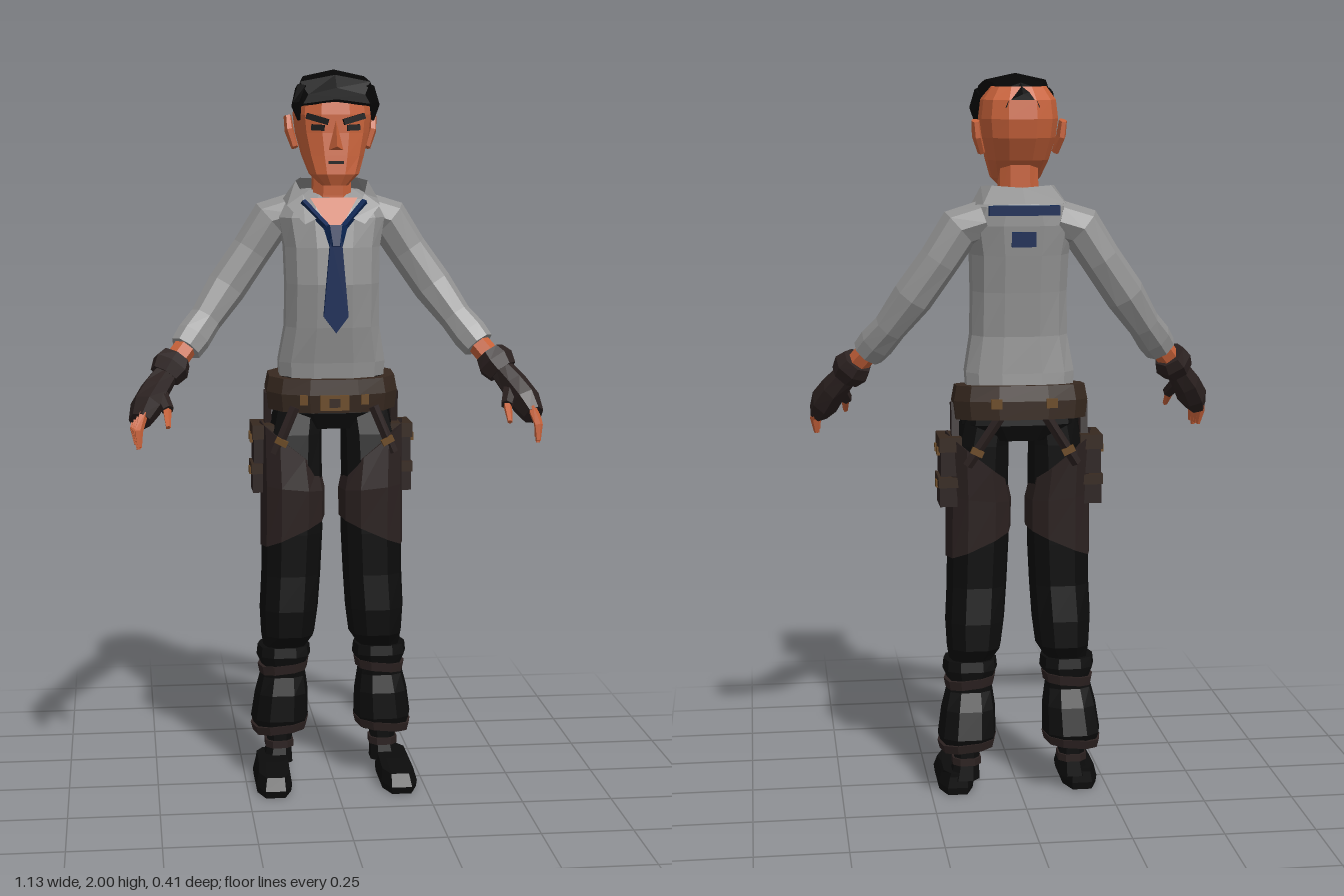
import * as THREE from 'three';

const mat = (name, color, side = THREE.FrontSide) => {
  const m = new THREE.MeshStandardMaterial({ color, flatShading: true, side });
  m.name = name;
  return m;
};

export function createModel() {
  const root = new THREE.Group();
  root.name = 'figure';
  const skin = mat('skin', 0xc8623a), shirt = mat('shirtGrey', 0x949494, THREE.DoubleSide);
  const cloth = mat('trouserBlack', 0x0c0c0c), hairMat = mat('hairBlack', 0x060606);
  const leather = mat('leatherBrown', 0x2b2120), strapMat = mat('strapBrown', 0x36281f);
  const navy = mat('tieNavy', 0x0b2654), brass = mat('brass', 0x6b4a24);
  const V = (x, y, z) => new THREE.Vector3(x, y, z);

  const add = (name, geo, m) => {
    const mesh = new THREE.Mesh(geo, m);
    mesh.name = name;
    root.add(mesh);
    return mesh;
  };
  const fromTriangles = (pts) => {
    const g = new THREE.BufferGeometry().setFromPoints(pts);
    g.computeVertexNormals();
    return g;
  };
  // Closed faceted skin over a list of equal rings
  const skinRings = (rings) => {
    const out = [], n = rings[0].length;
    for (let r = 0; r < rings.length - 1; r++) for (let i = 0; i < n; i++) {
      const j = (i + 1) % n, a = rings[r], b = rings[r + 1];
      out.push(a[i], a[j], b[j], a[i], b[j], b[i]);
    }
    const cap = (ring, flip) => {
      const c = V(0, 0, 0);
      ring.forEach((p) => c.addScaledVector(p, 1 / n));
      for (let i = 0; i < n; i++) {
        const p = ring[i], q = ring[(i + 1) % n];
        out.push(c, flip ? q : p, flip ? p : q);
      }
    };
    cap(rings[0], true);
    cap(rings[rings.length - 1], false);
    return fromTriangles(out);
  };
  // Upright loft, bottom to top: [centreX, y, zFront, zBack, halfWidth, slope]
  const loft = (name, m, sections, n = 12, power = 0.75, s = 1) => {
    const sq = (v) => Math.sign(v) * Math.abs(v) ** power;
    return add(name, skinRings(sections.map(([cx, y, zf, zb, hw, slope = 0]) =>
      Array.from({ length: n }, (_, i) => {
        const a = ((i + 0.5) / n) * Math.PI * 2, dx = hw * sq(Math.sin(a));
        return V(cx * s + dx, y + slope * s * dx, (zf + zb) / 2 + ((zf - zb) / 2) * sq(Math.cos(a)));
      }))), m);
  };
  // Tapered limb along a path: [x, y, z, radiusU, radiusV]
  const limb = (name, m, path, n = 7, s = 1) => {
    const c = path.map(([x, y, z]) => V(x * s, y, z));
    return add(name, skinRings(path.map((p, k) => {
      const t = c[Math.min(k + 1, c.length - 1)].clone().sub(c[Math.max(k - 1, 0)]).normalize();
      const u = V(0, 0, 1).cross(t).normalize(), v = t.clone().cross(u);
      return Array.from({ length: n }, (_, i) => {
        const a = (i / n) * Math.PI * 2;
        return c[k].clone().addScaledVector(u, p[3] * Math.cos(a)).addScaledVector(v, p[4] * Math.sin(a));
      });
    })), m);
  };
  const box = (name, m, size, pos, rot = [0, 0, 0]) => {
    const mesh = add(name, new THREE.BoxGeometry(...size), m);
    mesh.position.set(...pos);
    mesh.rotation.set(...rot);
    return mesh;
  };

  // Head and neck
  loft('neck', skin, [[0, 1.56, 0.0, -0.12, 0.062], [0, 1.66, -0.005, -0.11, 0.056], [0, 1.78, 0.0, -0.11, 0.054]], 8);
  loft('head', skin, [
    [0, 1.69, 0.062, -0.01, 0.036], [0, 1.72, 0.075, -0.06, 0.068], [0, 1.77, 0.07, -0.125, 0.085],
    [0, 1.83, 0.063, -0.16, 0.1], [0, 1.88, 0.062, -0.17, 0.106], [0, 1.93, 0.052, -0.163, 0.1],
    [0, 1.965, 0.02, -0.135, 0.075]]);
  add('nose', fromTriangles([
    [0, 1.865, 0.064], [-0.02, 1.785, 0.066], [0, 1.795, 0.096],
    [0, 1.865, 0.064], [0, 1.795, 0.096], [0.02, 1.785, 0.066],
    [-0.02, 1.785, 0.066], [0.02, 1.785, 0.066], [0, 1.795, 0.096]].map((p) => V(...p))), skin);
  box('mouth', hairMat, [0.042, 0.008, 0.008], [0, 1.752, 0.07]);

  // Hair swept over the crown: [z, halfWidth, top, edge]
  add('hair', skinRings([
    [-0.16, 0.045, 1.945, 1.91], [-0.12, 0.062, 1.975, 1.94], [-0.06, 0.08, 1.993, 1.945],
    [0, 0.098, 2.0, 1.925], [0.045, 0.112, 1.985, 1.9], [0.085, 0.09, 1.95, 1.908],
  ].map(([z, w, t, e]) => [V(-w, e, z), V(0, e + 0.012, z), V(w, e, z), V(w * 0.85, t - 0.018, z), V(0, t, z), V(-w * 0.85, t - 0.018, z)])), hairMat);

  // Shirt body
  loft('shirt', shirt, [
    [0, 1.14, 0.005, -0.16, 0.148], [0, 1.2, 0.012, -0.155, 0.152], [0, 1.3, 0.035, -0.15, 0.134],
    [0, 1.42, 0.052, -0.163, 0.132], [0, 1.52, 0.046, -0.178, 0.135], [0, 1.6, 0.03, -0.188, 0.15],
    [0, 1.65, 0.0, -0.188, 0.125], [0, 1.675, -0.03, -0.165, 0.08]]);
  add('openNeck', fromTriangles([V(-0.065, 1.655, 0.008), V(0, 1.55, 0.052), V(0.065, 1.655, 0.008)]), skin);

  // Turned-out collar, mirrored from one half
  const inner = [[0.05, 1.6, 0.042], [0.085, 1.665, 0.005], [0.1, 1.7, -0.05], [0.08, 1.705, -0.13], [0, 1.7, -0.155]];
  const outer = [[0.082, 1.585, 0.042], [0.128, 1.635, 0.005], [0.132, 1.65, -0.08], [0.11, 1.66, -0.195], [0, 1.66, -0.213]];
  const collar = [];
  for (const s of [1, -1]) for (let i = 0; i < 4; i++) {
    const p = ([x, y, z]) => V(x * s, y, z);
    const q = [p(inner[i]), p(outer[i]), p(outer[i + 1]), p(inner[i + 1])];
    if (s < 0) q.reverse();
    collar.push(q[0], q[1], q[2], q[0], q[2], q[3]);
  }
  add('collar', fromTriangles(collar), shirt);

  // Tie
  const blade = new THREE.Shape([[-0.015, 1.55], [-0.034, 1.335], [0, 1.29], [0.034, 1.335], [0.015, 1.55]].map((p) => new THREE.Vector2(...p)));
  add('tieBlade', new THREE.ExtrudeGeometry(blade, { depth: 0.016, bevelEnabled: false }), navy).position.z = 0.058;
  limb('tieKnot', navy, [[0, 1.525, 0.066, 0.018, 0.016], [0, 1.58, 0.052, 0.034, 0.02]], 6);
  box('tieBackBand', navy, [0.19, 0.026, 0.02], [0, 1.642, -0.192]);
  box('backPatch', navy, [0.065, 0.04, 0.012], [0, 1.565, -0.184]);

  // Belt and hips
  loft('hips', cloth, [[0, 1.015, 0.0, -0.15, 0.11], [0, 1.06, 0.015, -0.17, 0.165], [0, 1.16, 0.005, -0.16, 0.155]]);
  const belt = loft('belt', strapMat, [[0, 1.07, 0.03, -0.19, 0.182], [0, 1.12, 0.032, -0.193, 0.188], [0, 1.162, 0.022, -0.186, 0.18]]);
  belt.rotation.x = 0.08;
  belt.position.set(0, 0.006, -0.09);
  belt.geometry.translate(0, 0, 0.09);
  belt.geometry.translate(0, -1.12, 0);
  belt.position.y = 1.122;
  box('buckle', brass, [0.08, 0.042, 0.012], [0, 1.092, 0.032]);
  box('buckleCentre', strapMat, [0.03, 0.024, 0.008], [0, 1.092, 0.037]);

  for (const s of [1, -1]) {
    const side = s > 0 ? 'left' : 'right';
    const L = (part, m, sections, n = 10, power = 0.75) => loft(side + part, m, sections, n, power, s);
    const A = (part, m, path, n) => limb(side + part, m, path, n, s);
    const B = (part, m, size, [x, y, z], [rx, ry, rz] = [0, 0, 0]) => box(side + part, m, size, [x * s, y, z], [rx, ry * s, rz * s]);

    // Face details and side fringe
    B('Brow', hairMat, [0.062, 0.016, 0.009], [0.05, 1.868, 0.06], [0, 0.2, 0.28]);
    B('Eye', hairMat, [0.036, 0.016, 0.009], [0.048, 1.845, 0.058], [0, 0.2, 0.05]);
    A('Ear', skin, [[0.1, 1.79, -0.065, 0.01, 0.016], [0.114, 1.835, -0.078, 0.013, 0.032], [0.118, 1.875, -0.085, 0.011, 0.025]], 6);
    A('Fringe', hairMat, [[0.09, 1.95, 0.035, 0.018, 0.035], [0.106, 1.905, 0.05, 0.014, 0.03], [0.1, 1.865, 0.06, 0.004, 0.006]], 5);

    // Tie loop along the open neck
    A('TieLoop', navy, [[0.085, 1.645, 0.012, 0.01, 0.012], [0.012, 1.565, 0.056, 0.01, 0.012]], 4);

    // Arm
    A('Sleeve', shirt, [[0.1, 1.61, -0.105, 0.055, 0.07], [0.165, 1.59, -0.106, 0.06, 0.063], [0.22, 1.505, -0.106, 0.055, 0.058],
      [0.29, 1.405, -0.09, 0.056, 0.054], [0.35, 1.32, -0.055, 0.046, 0.046], [0.385, 1.275, -0.025, 0.05, 0.045], [0.408, 1.245, -0.005, 0.046, 0.04]], 8);
    A('Wrist', skin, [[0.39, 1.27, -0.02, 0.032, 0.032], [0.455, 1.19, 0.03, 0.032, 0.032]], 6);
    A('GloveCuff', leather, [[0.435, 1.222, 0.012, 0.044, 0.044], [0.45, 1.2, 0.025, 0.055, 0.052], [0.468, 1.175, 0.04, 0.044, 0.042]], 7);
    A('Glove', leather, [[0.46, 1.185, 0.035, 0.034, 0.034], [0.495, 1.14, 0.07, 0.04, 0.05], [0.52, 1.1, 0.105, 0.043, 0.058], [0.538, 1.065, 0.135, 0.03, 0.045]], 7);
    A('ThumbSheath', leather, [[0.485, 1.14, 0.08, 0.022, 0.024], [0.462, 1.095, 0.14, 0.017, 0.017]], 6);
    A('Thumb', skin, [[0.465, 1.1, 0.13, 0.013, 0.013], [0.463, 1.055, 0.185, 0.007, 0.007]], 5);
    for (let f = 0; f < 4; f++) {
      const z = 0.165 - f * 0.022, drop = f === 1 ? 0.008 : 0;
      A('Finger' + (f + 1), skin, [[0.528 + f * 0.005, 1.09, z - 0.01, 0.013, 0.013], [0.542 + f * 0.004, 1.045, z + 0.018, 0.012, 0.012],
        [0.54 + f * 0.003, 1.003 - drop, z + 0.03, 0.006, 0.006]], 5);
    }

    // Trousers
    L('TrouserLeg', cloth, [[0.135, 0.385, -0.005, -0.12, 0.06], [0.125, 0.425, 0.03, -0.148, 0.076], [0.122, 0.5, 0.036, -0.148, 0.083],
      [0.116, 0.6, 0.03, -0.136, 0.084], [0.112, 0.72, 0.034, -0.14, 0.086], [0.11, 0.88, 0.036, -0.145, 0.083], [0.102, 1.0, 0.02, -0.15, 0.075], [0.09, 1.08, 0.0, -0.15, 0.07]]);
    L('ThighGuard', leather, [[0.111, 0.72, 0.04, -0.147, 0.091, -0.45], [0.11, 0.85, 0.046, -0.152, 0.091, 0.1], [0.117, 0.965, 0.034, -0.158, 0.085, 0.8]]);
    L('Gaiter', cloth, [[0.148, 0.14, 0.0, -0.155, 0.07], [0.148, 0.175, 0.012, -0.17, 0.082], [0.143, 0.25, 0.01, -0.15, 0.076], [0.14, 0.3, -0.004, -0.128, 0.066],
      [0.138, 0.325, 0.0, -0.13, 0.06], [0.137, 0.36, 0.008, -0.135, 0.077], [0.137, 0.388, 0.004, -0.13, 0.074]]);
    L('ShinStrap', leather, [[0.138, 0.312, 0.002, -0.135, 0.068, -0.1], [0.138, 0.338, 0.005, -0.138, 0.073, -0.1]]);
    L('GaiterHem', leather, [[0.148, 0.138, 0.008, -0.165, 0.077, -0.1], [0.148, 0.162, 0.012, -0.17, 0.083, -0.1]]);

    // Shoe and ankle
    L('Ankle', cloth, [[0.155, 0.04, -0.025, -0.12, 0.044], [0.15, 0.09, -0.038, -0.115, 0.036], [0.148, 0.17, -0.035, -0.118, 0.04]], 8);
    L('AnkleStrap', leather, [[0.15, 0.085, -0.03, -0.122, 0.042], [0.15, 0.105, -0.03, -0.122, 0.042]], 8);
    L('Shoe', cloth, [[0.177, 0, 0.155, -0.12, 0.05], [0.177, 0.02, 0.16, -0.122, 0.053], [0.175, 0.052, 0.135, -0.12, 0.046], [0.172, 0.064, 0.03, -0.118, 0.044]], 8, 0.65);

    // Hip straps, belt loops and pouches
    B('BeltStud', brass, [0.022, 0.028, 0.01], [0.085, 1.1, 0.026], [0, 0.1, 0]);
    B('BackBeltStud', brass, [0.03, 0.025, 0.01], [0.075, 1.125, -0.195]);
    A('FrontStrap', leather, [[0.11, 1.08, 0.022, 0.014, 0.01], [0.165, 0.95, 0.026, 0.014, 0.012]], 4);
    A('BackStrap', leather, [[0.06, 1.09, -0.172, 0.014, 0.01], [0.15, 0.95, -0.152, 0.014, 0.012]], 4);
    B('FrontStrapBuckle', brass, [0.035, 0.018, 0.01], [0.148, 0.985, 0.035], [0, 0.2, 0.45]);
    B('BackStrapBuckle', brass, [0.035, 0.018, 0.01], [0.125, 0.99, -0.168], [0, 0, 0.45]);
    B('HipStrap', leather, [0.02, 0.12, 0.04], [0.178, 1.055, -0.08], [0.15, 0, 0]);
    B('UpperPouch', leather, [0.055, 0.095, 0.11], [0.193, 0.965, -0.075]);
    B('UpperPouchFlap', strapMat, [0.062, 0.04, 0.118], [0.194, 1.005, -0.075]);
    B('LowerPouch', leather, [0.05, 0.075, 0.1], [0.198, 0.87, -0.078]);
    B('LowerPouchFlap', strapMat, [0.056, 0.028, 0.108], [0.199, 0.9, -0.078]);
    for (const z of [-0.045, -0.105]) B('PouchClasp', brass, [0.008, 0.022, 0.02], [0.226, 0.985, z]);
    B('LowerPouchClasp', brass, [0.008, 0.02, 0.028], [0.227, 0.89, -0.078]);
  }
  return root;
}
